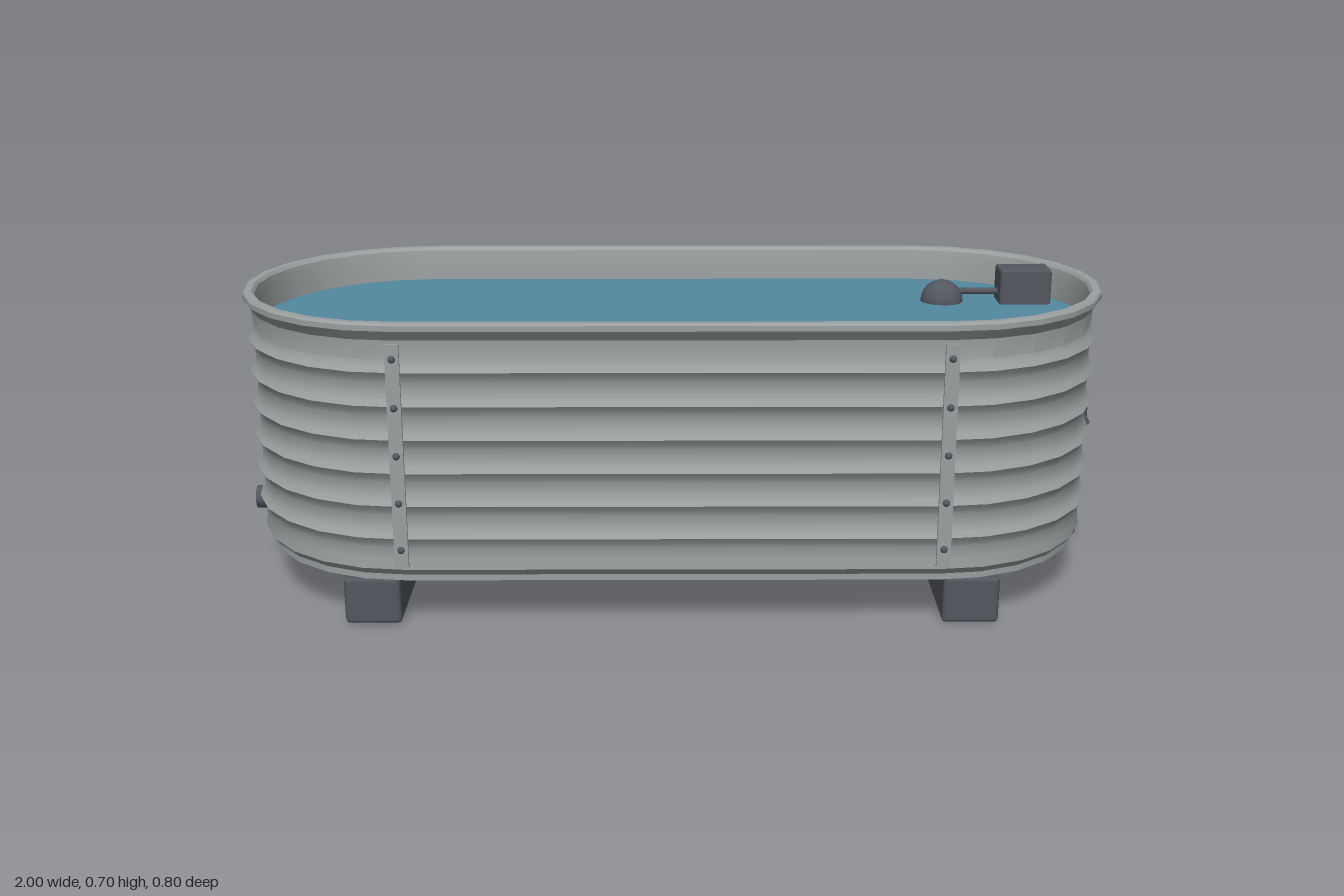
import * as THREE from 'three';
import { toCreasedNormals } from 'three/addons/utils/BufferGeometryUtils.js';
import { RoundedBoxGeometry } from 'three/addons/geometries/RoundedBoxGeometry.js';

const CX = -0.02;     // tank centre in x
const HALF = 0.58;    // half length of the straight sides
const ARC = 12;       // segments per rounded end

const steel = new THREE.MeshStandardMaterial({ color: 0x9a9fa0, side: THREE.DoubleSide });
const dark = new THREE.MeshStandardMaterial({ color: 0x53575e });
const waterBlue = new THREE.MeshStandardMaterial({ color: 0x5288a0 });

// Points of a stadium outline with end radius r, as [x, z]
function stadium(r) {
  const pts = [];
  for (const side of [1, -1]) {
    for (let i = 0; i <= ARC; i++) {
      const a = -Math.PI / 2 + (Math.PI * i) / ARC + (side < 0 ? Math.PI : 0);
      pts.push([CX + side * HALF + r * Math.cos(a), r * Math.sin(a)]);
    }
  }
  return pts;
}

// Sweep a profile of [radius, y] around the stadium
function stadiumSweep(profile) {
  const pos = [], idx = [];
  const n = 2 * (ARC + 1);
  for (const [r, y] of profile) for (const [x, z] of stadium(r)) pos.push(x, y, z);
  for (let j = 0; j < profile.length - 1; j++) {
    for (let i = 0; i < n; i++) {
      const k = (i + 1) % n;
      const a = j * n + i, b = a + n, c = j * n + k, d = c + n;
      idx.push(a, b, c, c, b, d);
    }
  }
  const g = new THREE.BufferGeometry();
  g.setAttribute('position', new THREE.Float32BufferAttribute(pos, 3));
  g.setIndex(idx);
  return toCreasedNormals(g, 0.5);
}

// Flat stadium sheet facing up or down
function stadiumSheet(r, y, up) {
  const shape = new THREE.Shape(stadium(r).map(([x, z]) => new THREE.Vector2(x, up ? -z : z)));
  const g = new THREE.ShapeGeometry(shape);
  g.rotateX(up ? -Math.PI / 2 : Math.PI / 2);
  g.translate(0, y, 0);
  return g;
}

export function createModel() {
  const model = new THREE.Group();
  const add = (name, geo, mat, x = 0, y = 0, z = 0) => {
    const m = new THREE.Mesh(geo, mat);
    m.name = name;
    m.position.set(x, y, z);
    model.add(m);
    return m;
  };

  // Corrugated wall: a row of ridges between the base flange and the rim
  const wall = [[0.36, 0.11], [0.36, 0.124], [0.373, 0.14], [0.37, 0.165]];
  for (let k = 1; k <= 6; k++) {
    const y = 0.14 + 0.0745 * k;
    wall.push([0.37, y - 0.025], [0.375, y - 0.012], [0.383, y], [0.375, y + 0.012], [0.37, y + 0.025]);
  }
  wall.push([0.373, 0.655]);
  add('tankWall', stadiumSweep(wall), steel);
  add('tankFloor', stadiumSheet(0.36, 0.11, false), steel);

  // Flared rim folding over into the inner wall
  add('rim', stadiumSweep([
    [0.373, 0.655], [0.39, 0.678], [0.39, 0.69], [0.386, 0.695], [0.37, 0.695],
    [0.364, 0.688], [0.36, 0.665], [0.357, 0.6],
  ]), steel);
  add('water', stadiumSheet(0.358, 0.617, true), waterBlue);

  // Seam strips with rivets at the ends of the straight sides
  for (const side of [1, -1]) {
    for (const x of [CX - HALF - 0.005, CX + HALF + 0.005]) {
      add('seamStrip', new THREE.BoxGeometry(0.03, 0.5, 0.008), steel, x, 0.4, side * 0.386);
      for (let i = 0; i < 5; i++) {
        add('rivet', new THREE.SphereGeometry(0.008, 10, 8), dark, x, 0.193 + 0.1065 * i, side * 0.391);
      }
    }
  }

  // Support beams
  for (const x of [-0.68, 0.637]) {
    add('supportBeam', new RoundedBoxGeometry(0.125, 0.108, 0.7, 1, 0.01), dark, x, 0.055, 0);
  }

  // Drain plug on the right end
  add('drainPlug', new THREE.CylinderGeometry(0.027, 0.027, 0.05, 12).rotateZ(Math.PI / 2), dark, -0.975, 0.175, 0);

  // Float valve: housing, arm and ball
  add('floatHousing', new RoundedBoxGeometry(0.12, 0.085, 0.08, 1, 0.006), dark, 0.805, 0.655, -0.13);
  add('floatArm', new THREE.CylinderGeometry(0.008, 0.008, 0.14, 8).rotateZ(Math.PI / 2), dark, 0.69, 0.64, -0.13);
  add('floatBall', new THREE.SphereGeometry(0.05, 16, 12), dark, 0.615, 0.617, -0.13);

  // Supply pipe rising from the ground and bending into the tank
  const V = (x, y, z) => new THREE.Vector3(x, y, z);
  const path = new THREE.CurvePath();
  path.add(new THREE.LineCurve3(V(0.973, 0, -0.212), V(0.973, 0.48, -0.212)));
  path.add(new THREE.QuadraticBezierCurve3(V(0.973, 0.48, -0.212), V(0.973, 0.535, -0.212), V(0.935, 0.535, -0.18)));
  path.add(new THREE.LineCurve3(V(0.935, 0.535, -0.18), V(0.893, 0.53, -0.143)));
  add('supplyPipe', new THREE.TubeGeometry(path, 48, 0.016, 8), dark);
  const end = add('pipeEnd', new THREE.CircleGeometry(0.016, 8), dark, 0.893, 0.53, -0.143);
  end.lookAt(0.851, 0.525, -0.106);
  add('valveBody', new THREE.CylinderGeometry(0.025, 0.025, 0.052, 12), dark, 0.974, 0.32, -0.212);
  add('valveHandle', new THREE.CylinderGeometry(0.009, 0.009, 0.085, 8).rotateX(Math.PI / 2), dark, 0.974, 0.32, -0.158);

  return model;
}
